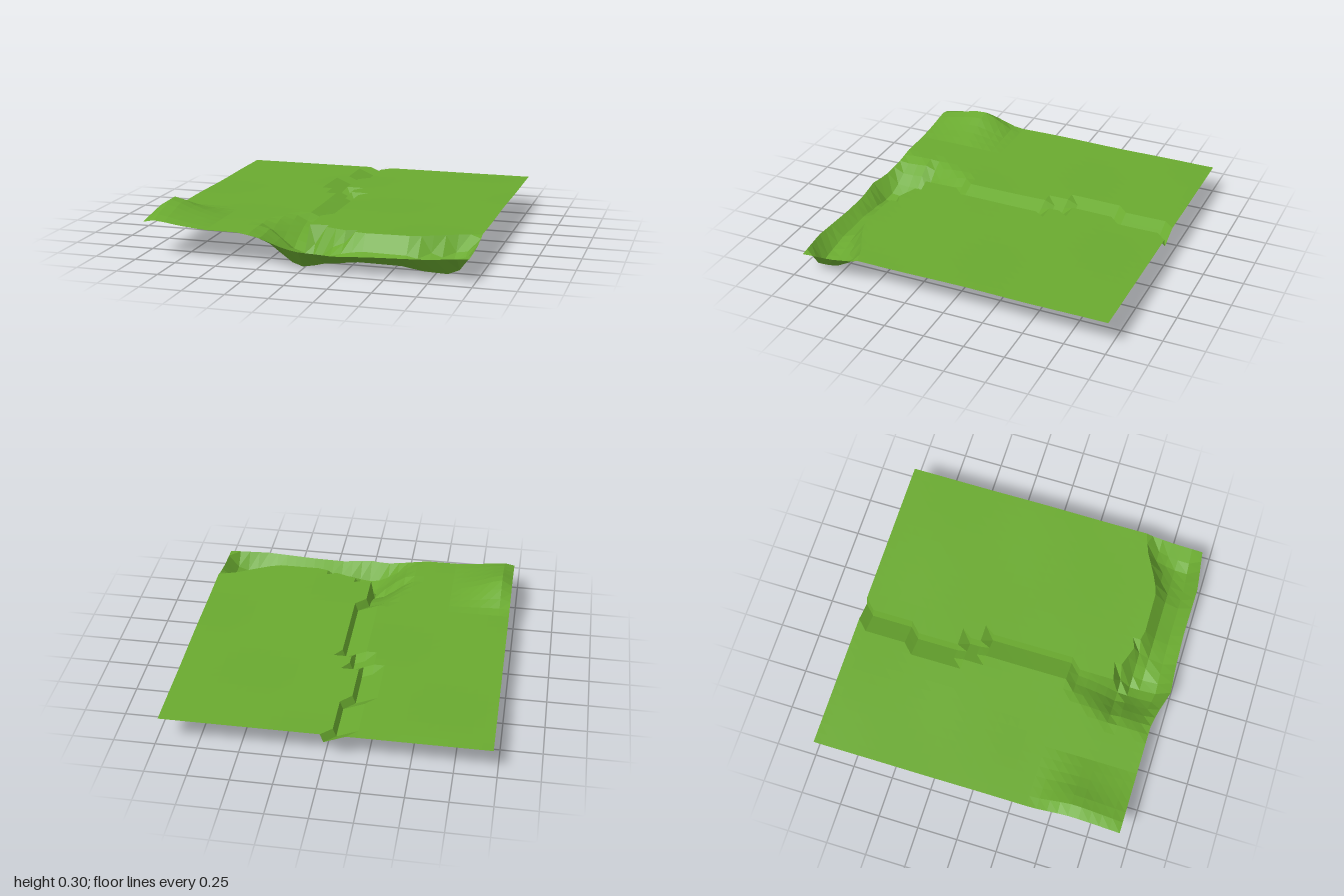
import * as THREE from 'three';

const N = 30, X0 = -0.97, Z0 = -1, CELL = 0.0645;

// Piecewise linear curve through [t, value] pairs
function along(points, t) {
  if (t <= points[0][0]) return points[0][1];
  for (let i = 1; i < points.length; i++) {
    const [a, va] = points[i - 1], [b, vb] = points[i];
    if (t <= b) return va + (vb - va) * (t - a) / (b - a);
  }
  return points[points.length - 1][1];
}

// Stream: course, depth and width of its sloping west bank
const COURSE = [[-1, -0.03], [-0.7, -0.09], [-0.5, -0.13], [-0.35, -0.11], [-0.2, -0.04], [-0.08, 0.02],
  [0.2, 0.03], [0.35, -0.01], [0.5, -0.06], [0.65, -0.06], [0.77, 0], [1, 0]];
const DEPTH = [[-1, 0.055], [0.4, 0.055], [0.5, 0.075], [0.6, 0.115], [0.7, 0.175], [0.77, 0.195], [0.85, 0.18], [0.91, 0.165]];
const BANK = [[-1, 0.13], [0.35, 0.13], [0.6, 0.25], [0.75, 0.32], [0.95, 0.36]];

// Basin: rear cliff line, cross-section from that line, and the front lip
const CLIFF = [[-0.1, 0.6], [0.1, 0.67], [0.3, 0.74], [0.6, 0.735], [0.72, 0.68], [0.85, 0.61], [0.97, 0.57]];
const FLOOR = [[0, 0.19], [0.045, 0.115], [0.1, 0.08], [0.17, 0.045], [0.25, 0.035], [0.4, 0.045]];
const LIP_Z = [[-0.27, 0.935], [-0.15, 0.955], [0, 0.998], [0.15, 0.985], [0.4, 0.975], [0.72, 0.98], [0.97, 0.945]];
const LIP_Y = [[-0.37, 0.193], [-0.25, 0.17], [-0.1, 0.13], [0.2, 0.11], [0.4, 0.12], [0.65, 0.13], [0.97, 0.145]];

// Hill in the front right corner: height across x and along z
const HILL_X = [[-0.97, 0.07], [-0.92, 0.115], [-0.85, 0.095], [-0.78, 0.062], [-0.7, 0.032], [-0.58, 0]];
const HILL_Z = [[0.36, 0], [0.42, 0.12], [0.5, 0.5], [0.57, 0.83], [0.63, 1], [0.7, 0.88], [0.8, 0.65], [0.88, 0.48], [0.935, 0.32]];

const smooth = (t) => THREE.MathUtils.smoothstep(t, 0, 1);

function vertex(i, j) {
  let x = X0 + i * CELL * 2 * 0.97 / (N * CELL);
  let z = Z0 + j * CELL;
  const row = z;
  const bed = X0 + Math.round((along(COURSE, row) - X0) / 0.06467) * 0.06467;
  const east = x - bed;
  const edge = along(CLIFF, x);

  // Gentle unevenness of the meadow
  let y = 0.194 + 0.003 * Math.sin(5 * x + 2 * z) * Math.sin(6 * z - x) * (z > -0.95 ? 1 : 0);

  // Hill
  y += along(HILL_X, x) * along(HILL_Z, z);

  // Stream bed with a sloping west bank and a steep east bank
  if (east < 0.01) {
    y -= along(DEPTH, row) * smooth(1 + Math.min(0, east) / along(BANK, row));
  } else {
    // Line up a row of the grid with the cliff
    if (Math.abs(row - edge) < CELL / 2) z = edge;
    if (z > edge) {
      y = along(FLOOR, z - edge);
      const r = Math.hypot(x, z - 0.77);
      y -= 0.08 * smooth(1 - r / 0.16);
      if (x > 0.93) y = along([[0.57, 0.185], [0.75, 0.155], [0.95, 0.145]], z);
      else if (x > 0.87) y += 0.025;
    }
    if (east < 0.1 && row < 0.62) x -= 0.045;
  }

  // Raised front lip, and the row just behind it
  const lip = along(LIP_Z, x);
  if (j === N) {
    z = lip;
    if (x > -0.37) y = along(LIP_Y, x);
  } else if (j === N - 1 && x > -0.3) {
    z += (lip - 0.935) * 0.6;
  }
  return [x, Math.max(0.001, y), z];
}

export function createModel() {
  const group = new THREE.Group();
  group.name = 'terrain';

  // Grid of ground cells
  const positions = [], index = [];
  for (let j = 0; j <= N; j++) {
    for (let i = 0; i <= N; i++) {
      positions.push(...vertex(i, j));
      if (i < N && j < N) {
        const a = j * (N + 1) + i, b = a + 1, c = a + N + 1, d = c + 1;
        index.push(a, c, b, b, c, d);
      }
    }
  }
  const geometry = new THREE.BufferGeometry();
  geometry.setAttribute('position', new THREE.Float32BufferAttribute(positions, 3));
  geometry.setIndex(index);
  geometry.computeVertexNormals();

  const grass = new THREE.MeshStandardMaterial({ color: 0x6aaa30, flatShading: true, side: THREE.DoubleSide });
  const ground = new THREE.Mesh(geometry, grass);
  ground.name = 'ground';
  group.add(ground);
  return group;
}
